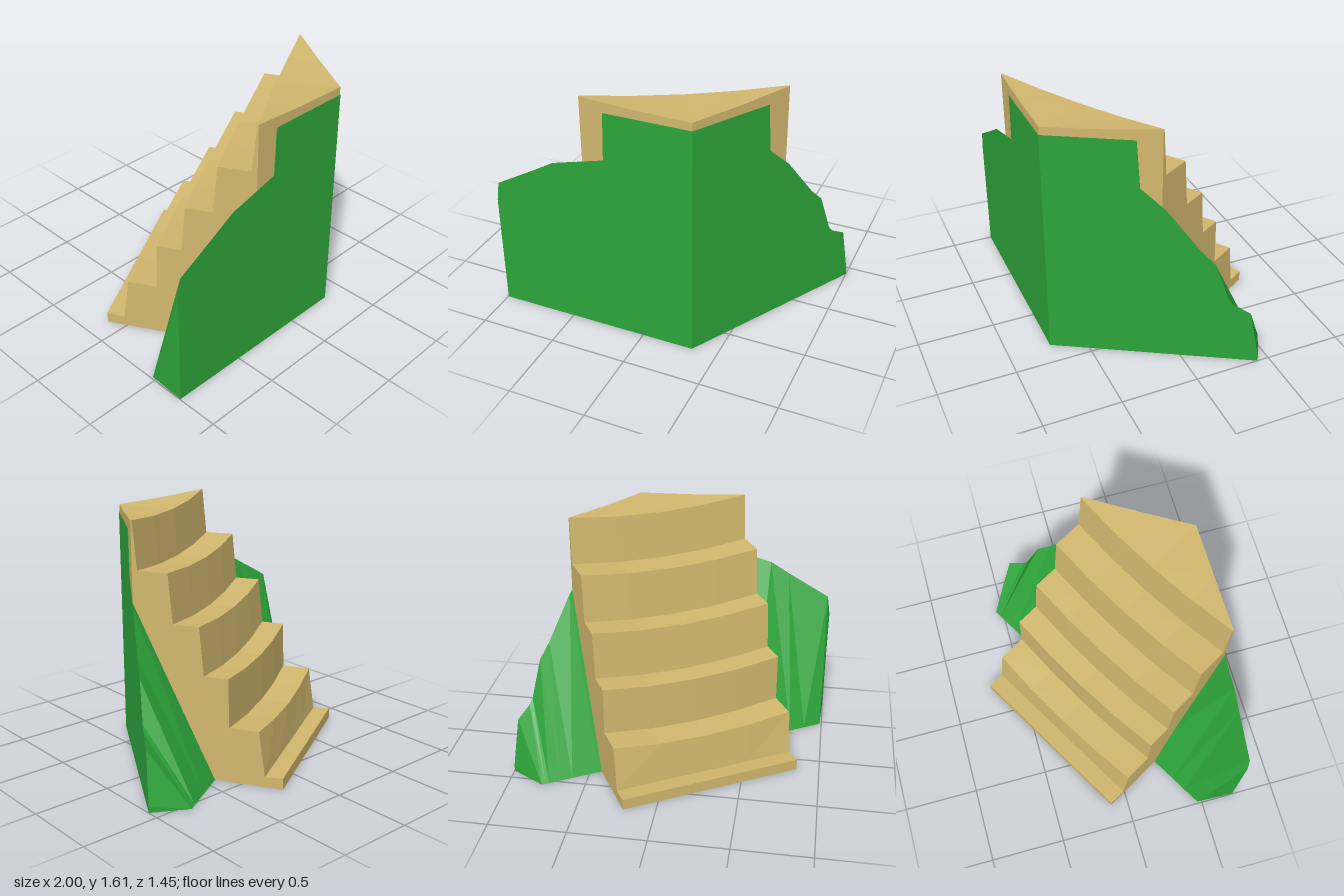
import * as THREE from 'three';

// Local frame: u runs down the stairs from the wall corner, v runs across them.
const COS = Math.sqrt(3) / 2;
const place = (u, y, v) => [0.335 - 0.5 * u + COS * v, y, 0.72 - COS * u - 0.5 * v];

// Joins rows of points into a flat-shaded sheet.
function sheet(rows, caps = []) {
  const pos = [];
  for (let i = 0; i + 1 < rows.length; i++) {
    for (let j = 0; j + 1 < rows[i].length; j++) {
      const a = rows[i][j], b = rows[i][j + 1], c = rows[i + 1][j + 1], d = rows[i + 1][j];
      pos.push(...a, ...b, ...c, ...a, ...c, ...d);
    }
  }
  caps.forEach((t) => t.forEach((p) => pos.push(...p)));
  const g = new THREE.BufferGeometry();
  g.setAttribute('position', new THREE.Float32BufferAttribute(pos, 3));
  g.computeVertexNormals();
  return g;
}

function addMesh(group, name, geometry, color) {
  const mesh = new THREE.Mesh(geometry, new THREE.MeshStandardMaterial({
    color, flatShading: true, side: THREE.DoubleSide,
  }));
  mesh.name = name;
  group.add(mesh);
}

export function createModel() {
  const group = new THREE.Group();
  const GREEN = 0x2da53a, SAND = 0xd2b86e;

  // Grassy bank: [distance along the bent wall, wall height]
  const skyline = [
    [-1.335, 0.76], [-1.315, 0.89], [-1.035, 1.05], [-0.91, 1.125], [-0.565, 1.22],
    [-0.555, 1.53], [0, 1.53], [0.555, 1.53], [0.575, 1.22], [0.73, 1.08],
    [0.94, 0.81], [1.03, 0.72], [1.12, 0.47], [1.15, 0.43], [1.26, 0.37], [1.325, 0.04],
  ];
  const wallFoot = skyline.map(([s]) => place(0.5 * Math.abs(s) - 0.004, 0, COS * s));
  const wallTop = skyline.map(([s, h]) => place(0.5 * Math.abs(s) - 0.004, h, COS * s));
  const bankFoot = skyline.map(([s]) => place(0.877, 0, THREE.MathUtils.clamp(COS * s, -1.02, 1.02)));
  const n = skyline.length - 1;
  addMesh(group, 'grassBank', sheet([wallFoot, wallTop, bankFoot, wallFoot], [
    [wallFoot[0], wallTop[0], bankFoot[0]],
    [wallFoot[n], bankFoot[n], wallTop[n]],
  ]), GREEN);

  // Stair profile: [u, height], from the top edge down to the ground
  const HALF = 0.61;
  const profile = [
    [0.36, 1.605], [0.387, 1.3], [0.583, 1.3], [0.612, 0.985], [0.78, 0.985], [0.808, 0.675],
    [0.964, 0.675], [0.97, 0.36], [1.16, 0.36], [1.2, 0.065], [1.316, 0.075], [1.316, 0],
  ];
  const columns = [-1, -0.5, 0, 0.5, 1].map((k) => k * HALF);
  const wear = (v) => 1 - (v / HALF) ** 2;

  // Treads and risers, worn in the middle, with the wall behind the top step
  const rows = [
    columns.map((v) => place(0.577 * Math.abs(v), 1, v)),
    columns.map((v) => place(0.577 * Math.abs(v), 1.605 - 0.025 * wear(v), v)),
    ...profile.map(([u, y]) => columns.map((v) => {
      const w = y > 0.1 ? wear(v) : 0;
      return place(u + 0.02 * w, y - 0.035 * w, v);
    })),
  ];
  addMesh(group, 'steps', sheet(rows), SAND);

  // Stair side walls
  const outline = [[0.352, 1], [0.352, 1.605], ...profile, [0.87, 0]];
  for (const [name, side] of [['leftStairSide', 1], ['rightStairSide', -1]]) {
    const g = new THREE.ShapeGeometry(new THREE.Shape(outline.map(([u, y]) => new THREE.Vector2(u, y))));
    const p = g.attributes.position;
    for (let i = 0; i < p.count; i++) p.setXYZ(i, ...place(p.getX(i), p.getY(i), side * HALF));
    if (side < 0) g.setIndex(Array.from(g.index.array).reverse());
    g.computeVertexNormals();
    addMesh(group, name, g, SAND);
  }
  return group;
}
